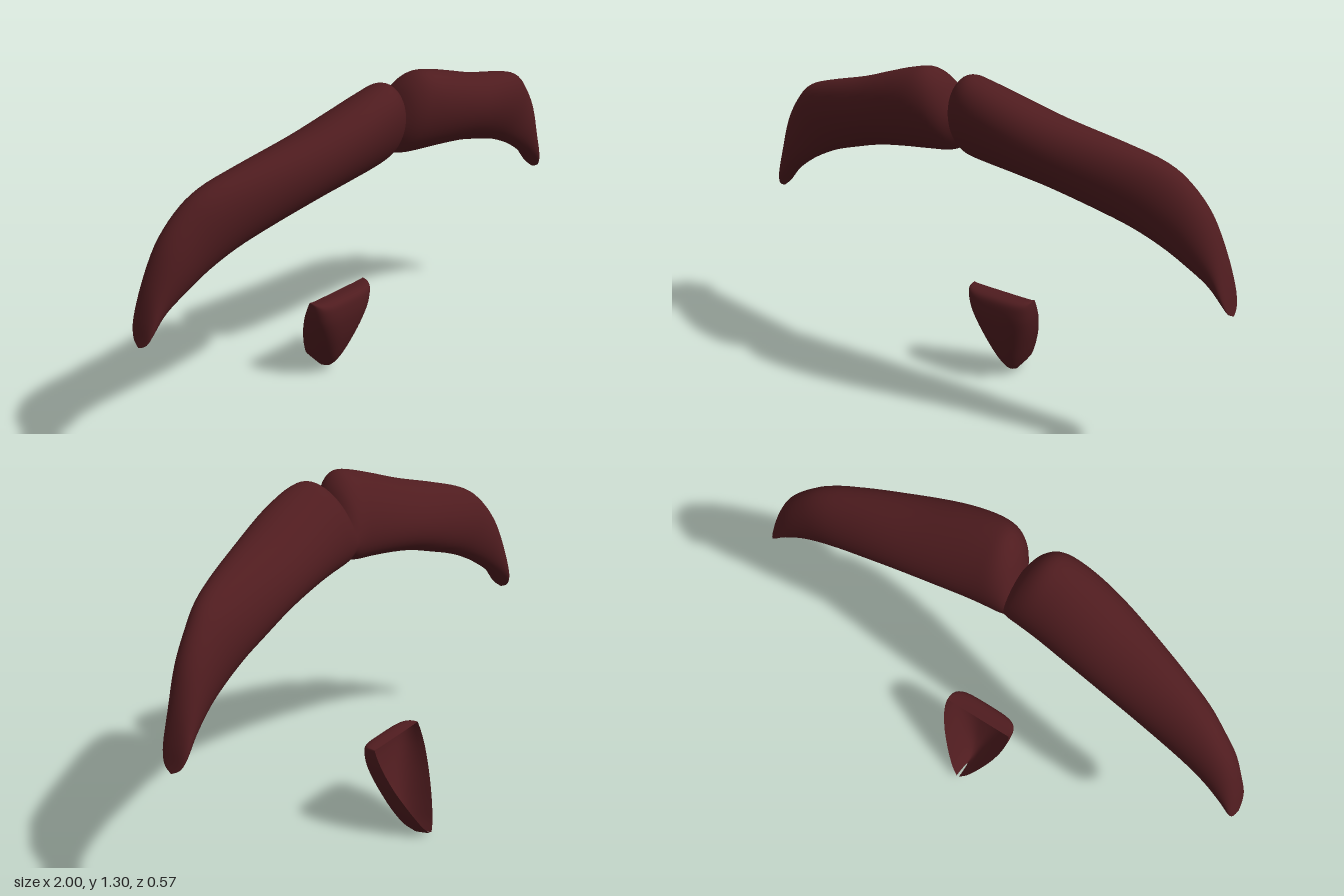
import * as THREE from 'three';

// Smooth Catmull-Rom interpolation through rows of numbers
function refine(rows, steps) {
  const out = [], last = rows.length - 1;
  const row = i => rows[Math.max(0, Math.min(last, i))];
  for (let s = 0; s <= last * steps; s++) {
    const i = Math.min(last - 1, Math.floor(s / steps)), t = s / steps - i;
    out.push(row(i).map((b, k) => {
      const a = row(i - 1)[k], c = row(i + 1)[k], d = row(i + 2)[k];
      return b + 0.5 * t * (c - a + t * (2 * a - 5 * b + 4 * c - d + t * (3 * (b - c) + d - a)));
    }));
  }
  return out;
}

// Skin a list of cross-sections (arrays of [x, y, z])
function loft(rings, closed, flip) {
  const n = rings[0].length, index = [];
  for (let i = 0; i < rings.length - 1; i++) {
    for (let j = 0; j < (closed ? n : n - 1); j++) {
      const k = (j + 1) % n;
      const a = i * n + j, b = i * n + k, c = a + n, d = b + n;
      if (flip) index.push(a, b, c, b, d, c);
      else index.push(a, c, b, b, c, d);
    }
  }
  const geo = new THREE.BufferGeometry();
  geo.setAttribute('position', new THREE.Float32BufferAttribute(rings.flat(2), 3));
  geo.setIndex(index);
  geo.computeVertexNormals();
  return geo;
}

// Moustache stations: upper x, y, lower x, y, front z, back z, lean
const STATIONS = [
  [0, 1.2, 0, 1.03, 0.2, 0.045, 0.35],
  [0.03, 1.265, 0.025, 1.01, 0.24, 0.04, 0.35],
  [0.08, 1.305, 0.06, 1.0, 0.268, 0.036, 0.35],
  [0.15, 1.297, 0.14, 0.99, 0.281, 0.03, 0.35],
  [0.27, 1.26, 0.25, 0.975, 0.275, 0.018, 0.33],
  [0.42, 1.21, 0.38, 0.95, 0.248, 0.005, 0.28],
  [0.62, 1.155, 0.53, 0.905, 0.195, -0.008, 0.2],
  [0.75, 1.11, 0.65, 0.865, 0.155, -0.018, 0.12],
  [0.83, 1.05, 0.75, 0.82, 0.125, -0.023, 0.06],
  [0.9, 0.96, 0.83, 0.775, 0.105, -0.028, 0],
  [0.95, 0.84, 0.91, 0.72, 0.083, -0.032, 0],
  [0.98, 0.73, 0.965, 0.67, 0.073, -0.032, 0],
  [0.993, 0.66, 0.99, 0.643, 0.055, -0.015, 0],
  [1, 0.63, 1, 0.63, 0.021, 0.019, 0],
];

function moustacheHalf(side) {
  const rings = refine(STATIONS, 4).map(([ux, uy, lx, ly, zf, zb, lean]) => {
    const ring = [];
    for (let j = 0; j < 40; j++) {
      const t = j / 40 * Math.PI * 2, s = Math.sin(t + lean);
      ring.push([
        side * ((ux + lx) / 2 + (ux - lx) / 2 * s),
        (uy + ly) / 2 + (uy - ly) / 2 * s,
        (zf + zb) / 2 + (zf - zb) / 2 * Math.cos(t),
      ]);
    }
    return ring;
  });
  return loft(rings, true, side < 0);
}

// Chin tuft stations: half width, front y, z, rim y, z, squareness
const TUFT = [
  [0.138, 0.376, -0.125, 0.38, -0.125, 4],
  [0.14, 0.38, -0.085, 0.378, -0.127, 4],
  [0.141, 0.368, -0.058, 0.37, -0.13, 4],
  [0.141, 0.335, -0.05, 0.34, -0.143, 3.8],
  [0.134, 0.28, -0.053, 0.29, -0.165, 3.5],
  [0.112, 0.2, -0.072, 0.215, -0.198, 3],
  [0.08, 0.115, -0.105, 0.14, -0.232, 2.7],
  [0.055, 0.06, -0.135, 0.09, -0.254, 2.4],
  [0.032, 0.022, -0.17, 0.05, -0.271, 2.2],
  [0.005, 0.002, -0.215, 0.02, -0.285, 2],
];

function chinTuft() {
  const rings = refine(TUFT, 4).map(([w, yf, zf, yr, zr, p]) => {
    const section = [];
    for (let j = 0; j <= 32; j++) {
      const t = j / 32 * Math.PI, c = Math.cos(t);
      const x = Math.sign(c) * Math.abs(c) ** (2 / p);
      const f = Math.max(0, Math.sin(t)) ** (2 / p);
      section.push([w * x, yr + (yf - yr) * f, zr + (zf - zr) * f]);
    }
    return section;
  });
  return loft(rings, false, true);
}

export function createModel() {
  const group = new THREE.Group();
  group.name = 'facialHair';
  const hair = new THREE.MeshStandardMaterial({ color: 0x4f1c1f });
  const shell = new THREE.MeshStandardMaterial({ color: 0x4f1c1f, side: THREE.DoubleSide });
  const add = (name, geo, mat) => {
    const mesh = new THREE.Mesh(geo, mat);
    mesh.name = name;
    group.add(mesh);
  };

  // Two mirrored moustache halves meeting at the centre
  add('moustacheLeft', moustacheHalf(1), hair);
  add('moustacheRight', moustacheHalf(-1), hair);

  // Hollow chin tuft, open at the back
  add('chinTuft', chinTuft(), shell);
  return group;
}
